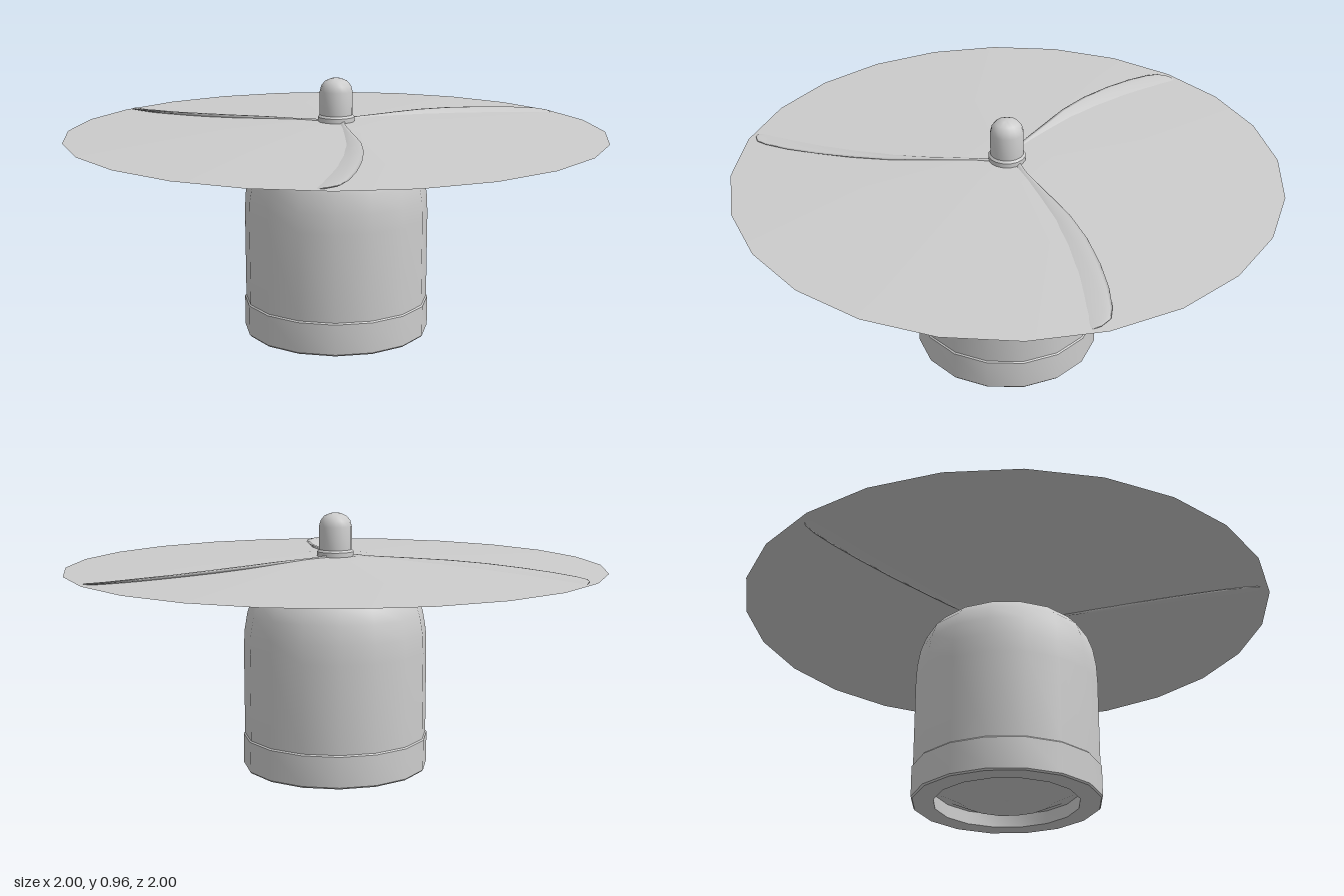
import * as THREE from 'three';
import { toCreasedNormals, mergeVertices } from 'three/addons/utils/BufferGeometryUtils.js';

const grey = new THREE.MeshStandardMaterial({ color: 0xcccccc });
grey.name = 'light grey';

function part(name, geometry) {
  const mesh = new THREE.Mesh(geometry, grey);
  mesh.name = name;
  return mesh;
}

// Turned part from [radius, height] pairs, listed from the underside to the top
function turned(name, profile, sides, crease = 0.6) {
  const points = profile.map(([r, y]) => new THREE.Vector2(r, y));
  return part(name, toCreasedNormals(new THREE.LatheGeometry(points, sides), crease));
}

// Pitched blade along +z: each station is [z, leadX, leadY, trailX, trailY, thickness]
function bladeGeometry() {
  const stations = [
    [0.03, 0.03, 0.808, -0.03, 0.725, 0.012],
    [0.12, 0.035, 0.803, -0.035, 0.722, 0.012],
    [0.28, 0.062, 0.801, -0.05, 0.724, 0.012],
    [0.42, 0.088, 0.798, -0.06, 0.729, 0.011],
    [0.56, 0.096, 0.793, -0.07, 0.735, 0.01],
    [0.7, 0.088, 0.786, -0.075, 0.742, 0.008],
    [0.82, 0.07, 0.779, -0.075, 0.748, 0.007],
    [0.91, 0.045, 0.773, -0.07, 0.753, 0.005],
    [0.955, 0.022, 0.769, -0.06, 0.757, 0.004],
    [0.975, -0.015, 0.766, -0.045, 0.761, 0.002],
  ];
  const sides = 12, positions = [], index = [];
  for (const [z, lx, ly, tx, ty, thick] of stations) {
    const chord = new THREE.Vector2(lx - tx, ly - ty);
    const normal = new THREE.Vector2(-chord.y, chord.x).normalize();
    for (let j = 0; j < sides; j++) {
      const a = (j / sides) * Math.PI * 2;
      const along = Math.cos(a) / 2, up = Math.sin(a) * thick;
      positions.push((lx + tx) / 2 + chord.x * along + normal.x * up,
        (ly + ty) / 2 + chord.y * along + normal.y * up, z);
    }
  }
  for (let i = 0; i < stations.length - 1; i++) {
    for (let j = 0; j < sides; j++) {
      const a = i * sides + j, b = i * sides + (j + 1) % sides;
      index.push(a, b, b + sides, a, b + sides, a + sides);
    }
  }
  // Tip cap
  const last = (stations.length - 1) * sides;
  for (let j = 1; j < sides - 1; j++) index.push(last, last + j, last + j + 1);
  const geometry = new THREE.BufferGeometry();
  geometry.setAttribute('position', new THREE.Float32BufferAttribute(positions, 3));
  geometry.setIndex(index);
  const welded = mergeVertices(geometry);
  welded.computeVertexNormals();
  return welded;
}

export function createModel() {
  const model = new THREE.Group();
  model.name = 'propellerMotor';

  // Motor housing with a ring-shaped recess and a raised centre underneath
  model.add(turned('motorHousing', [
    [0, 0.012], [0.17, 0.012], [0.25, 0.05], [0.268, 0.05], [0.268, 0],
    [0.345, 0], [0.35, 0.006], [0.35, 0.12], [0.345, 0.125], [0.345, 0.45],
    [0.342, 0.52], [0.33, 0.59], [0.31, 0.645], [0.273, 0.685], [0, 0.685],
  ], 16, 0.65));

  // Hub below the disc
  model.add(turned('hub', [
    [0, 0.675], [0.05, 0.675], [0.055, 0.695], [0.068, 0.7], [0.068, 0.76], [0, 0.76],
  ], 16));

  // Shallow double cone swept by the spinning blades
  model.add(turned('sweepDisc', [
    [0, 0.72], [0.15, 0.722], [1, 0.76], [0.17, 0.798], [0, 0.8],
  ], 24));

  // Domed spinner with a small flange
  model.add(turned('spinner', [
    [0, 0.75], [0.068, 0.75], [0.068, 0.816], [0.061, 0.824], [0.061, 0.91],
    [0.055, 0.932], [0.042, 0.948], [0.02, 0.958], [0, 0.96],
  ], 16));

  // Three blades breaking through the disc
  const blade = bladeGeometry();
  const blades = new THREE.Group();
  blades.name = 'blades';
  for (let i = 0; i < 3; i++) {
    const mesh = part('blade', blade);
    mesh.rotation.y = (i * Math.PI * 2) / 3;
    blades.add(mesh);
  }
  model.add(blades);
  return model;
}
